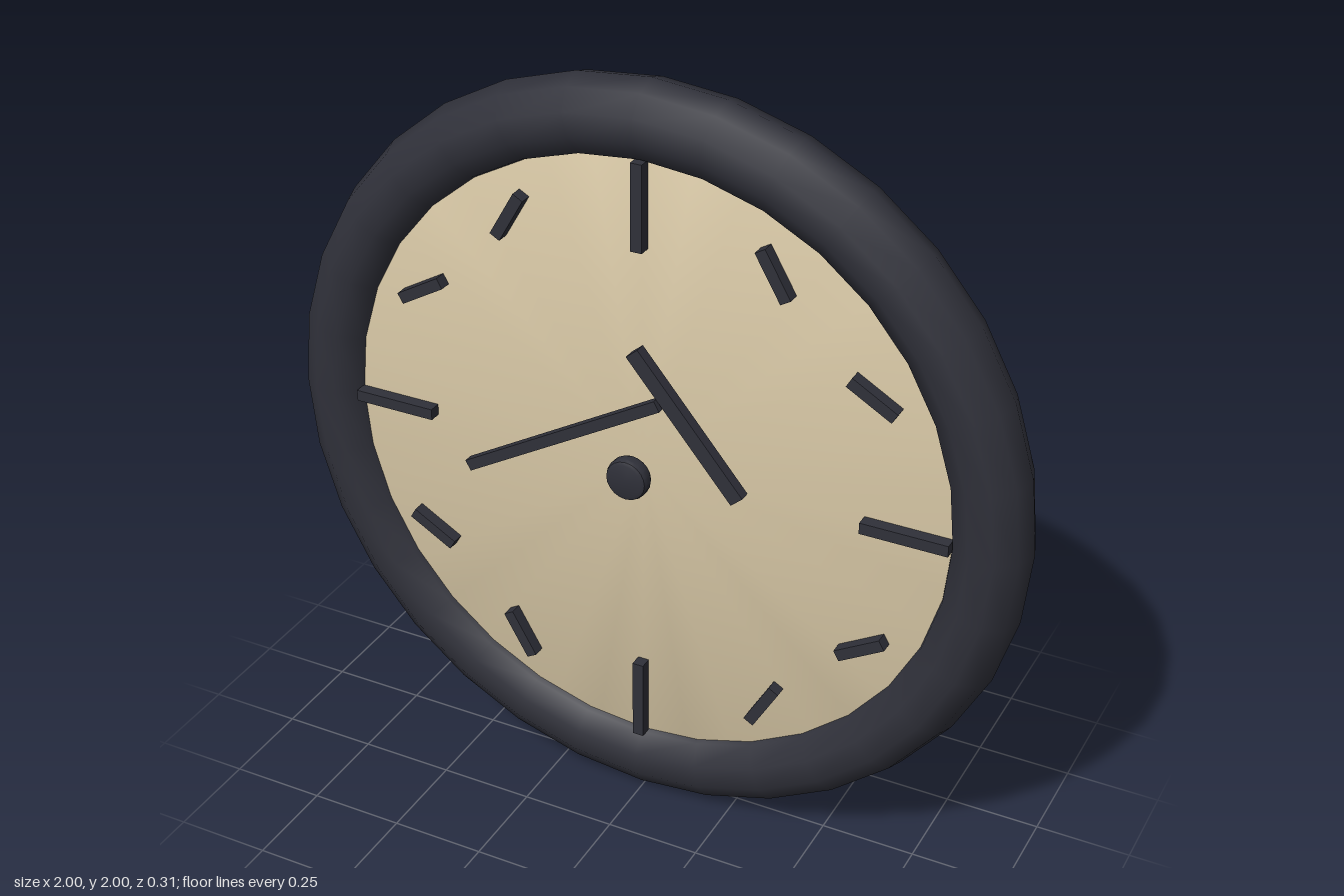
import * as THREE from 'three';
import { toCreasedNormals } from 'three/addons/utils/BufferGeometryUtils.js';

const dark = new THREE.MeshStandardMaterial({ name: 'charcoal', color: 0x2f3039 });
const cream = new THREE.MeshStandardMaterial({ name: 'cream', color: 0xd8c8a6 });

// Round solid along z with bevelled rims
function disc(radius, zBack, zFront, bevel, segments) {
  const profile = [
    [0, zBack], [radius - bevel, zBack], [radius - bevel * 0.3, zBack + bevel * 0.3], [radius, zBack + bevel],
    [radius, zFront - bevel], [radius - bevel * 0.3, zFront - bevel * 0.3], [radius - bevel, zFront], [0, zFront],
  ].map(([r, z]) => new THREE.Vector2(r, z));
  const geometry = new THREE.LatheGeometry(profile, segments).rotateX(Math.PI / 2);
  return toCreasedNormals(geometry, 0.5);
}

export function createModel() {
  const clock = new THREE.Group();
  clock.name = 'wallClock';

  const add = (name, geometry, material, x, y, z, turn = 0) => {
    const mesh = new THREE.Mesh(geometry, material);
    mesh.name = name;
    mesh.position.set(x, y, z);
    mesh.rotation.z = turn;
    clock.add(mesh);
  };

  // Case and rim
  add('dial', disc(0.895, -0.155, 0.055, 0.014, 40), cream, 0, 1, 0);
  add('rim', new THREE.TorusGeometry(0.9, 0.1, 10, 32), dark, 0, 1, 0.01);

  // Hour marks: long at the quarters, short and counter-tilted between
  for (let i = 0; i < 12; i++) {
    const a = (i * Math.PI) / 6;
    const long = i % 3 === 0;
    const r = long ? 0.703 : 0.7;
    add('hourMark', new THREE.BoxGeometry(0.03, long ? 0.225 : 0.135, 0.04), dark,
      Math.sin(a) * r, 1 + Math.cos(a) * r, 0.068, a);
  }

  // Hands, set off from the centre
  add('hourHand', new THREE.BoxGeometry(0.04, 0.44, 0.03), dark,
    0.142, 1.168, 0.1, THREE.MathUtils.degToRad(40));
  add('minuteHand', new THREE.BoxGeometry(0.03, 0.62, 0.025), dark,
    -0.195, 1.06, 0.114, THREE.MathUtils.degToRad(-60));

  // Centre cap
  add('centreCap', disc(0.056, 0.11, 0.153, 0.012, 20), dark, 0, 1, 0);

  return clock;
}
